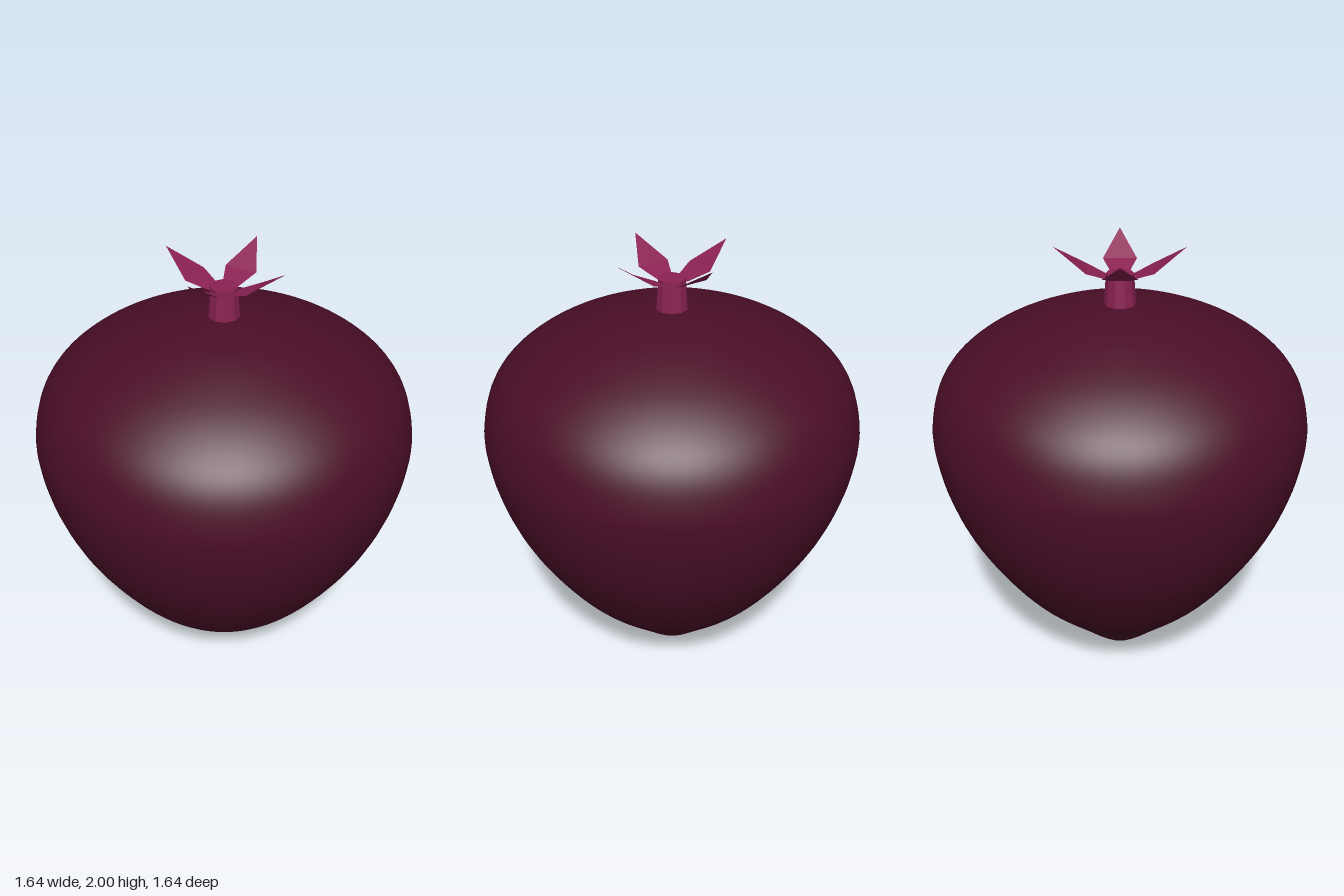
import * as THREE from 'three';

export function createModel() {
  const model = new THREE.Group();
  const skin = new THREE.MeshStandardMaterial({ color: 0x4a0e27 });
  skin.name = 'dark berry skin';
  const stalk = new THREE.MeshStandardMaterial({ color: 0x8b2252, side: THREE.DoubleSide });
  stalk.name = 'magenta stalk';

  const add = (name, geometry, material) => {
    const mesh = new THREE.Mesh(geometry, material);
    mesh.name = name;
    model.add(mesh);
    return mesh;
  };

  // Fruit body: a smooth lathe, pointed below and domed above
  const profile = new THREE.SplineCurve([
    [0, 0], [0.07, 0.015], [0.15, 0.08], [0.26, 0.19], [0.465, 0.4], [0.61, 0.6],
    [0.72, 0.8], [0.79, 1.0], [0.82, 1.18], [0.81, 1.3], [0.77, 1.42], [0.69, 1.52],
    [0.545, 1.62], [0.34, 1.705], [0.15, 1.75], [0, 1.76],
  ].map(([r, y]) => new THREE.Vector2(r, y)));
  const points = profile.getPoints(60).map((p) => p.setX(Math.max(0, p.x)));
  points[0].x = points[60].x = 0;
  add('fruitBody', new THREE.LatheGeometry(points, 72), skin);

  // Stem: short tapered peg with ten sides
  const stemGeometry = new THREE.CylinderGeometry(0.058, 0.07, 0.17, 10).toNonIndexed();
  stemGeometry.computeVertexNormals();
  add('stem', stemGeometry, stalk).position.y = 1.805;

  // Leaf: a thin pointed blade, bent up along its outer half
  const outline = [
    [-0.036, 1.872, 0.05], [0.036, 1.872, 0.05],
    [0.072, 1.908, 0.138], [0, 2.0, 0.273], [-0.072, 1.908, 0.138],
  ];
  const faces = [0, 4, 1, 1, 4, 2, 2, 4, 3];
  const leafGeometry = new THREE.BufferGeometry();
  // Corners run anticlockwise as seen from above
  const corners = faces.map((_, i) => faces[i - (i % 3) + [0, 2, 1][i % 3]]);
  leafGeometry.setAttribute('position',
    new THREE.Float32BufferAttribute(corners.flatMap((i) => outline[i]), 3));
  leafGeometry.computeVertexNormals();

  // Four leaves around the stem
  for (let i = 0; i < 4; i++) {
    add('leaf' + (i + 1), leafGeometry, stalk).rotation.y = (i * Math.PI) / 2;
  }

  return model;
}
